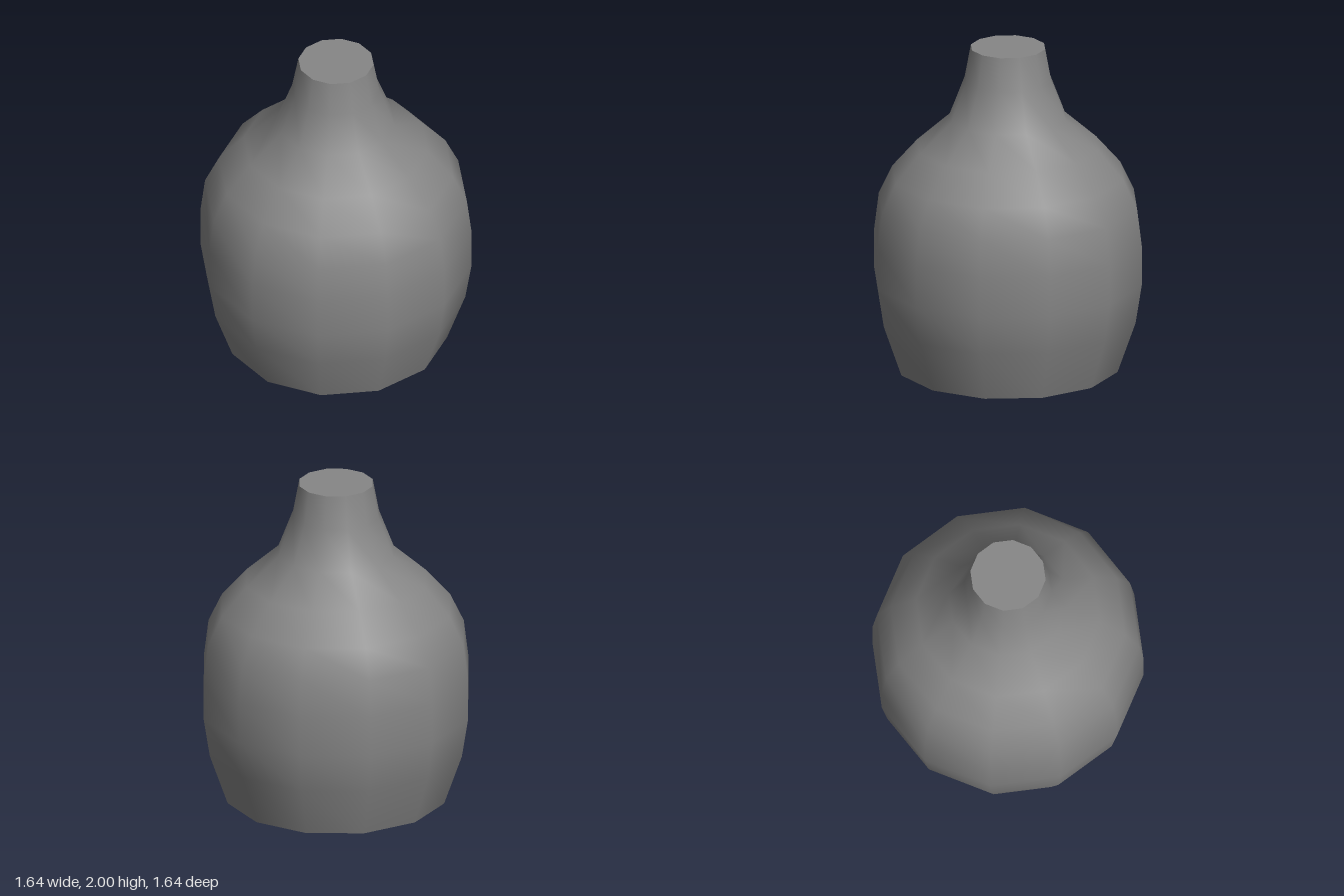
import * as THREE from 'three';

const SIDES = 12;

// Radius and height of each ring, from foot to mouth
const PROFILE = [
  [0.67, 0], [0.78, 0.315], [0.818, 0.555], [0.818, 0.805], [0.79, 1.03],
  [0.706, 1.207], [0.554, 1.382], [0.356, 1.558], [0.265, 1.797], [0.227, 2],
];

export function createModel() {
  const group = new THREE.Group();
  group.name = 'vase';
  const material = new THREE.MeshStandardMaterial({ color: 0x868686 });

  const add = (name, geometry) => {
    const mesh = new THREE.Mesh(geometry, material);
    mesh.name = name;
    group.add(mesh);
  };

  // Smooth-shaded twelve-sided wall
  const points = PROFILE.map(([r, y]) => new THREE.Vector2(r, y));
  add('body', new THREE.LatheGeometry(points, SIDES));

  // Flat discs closing the foot and the mouth
  const disc = ({ x, y }, turn) =>
    new THREE.CircleGeometry(x, SIDES).rotateX(turn).translate(0, y, 0);
  add('base', disc(points[0], Math.PI / 2));
  add('mouth', disc(points[points.length - 1], -Math.PI / 2));

  return group;
}
